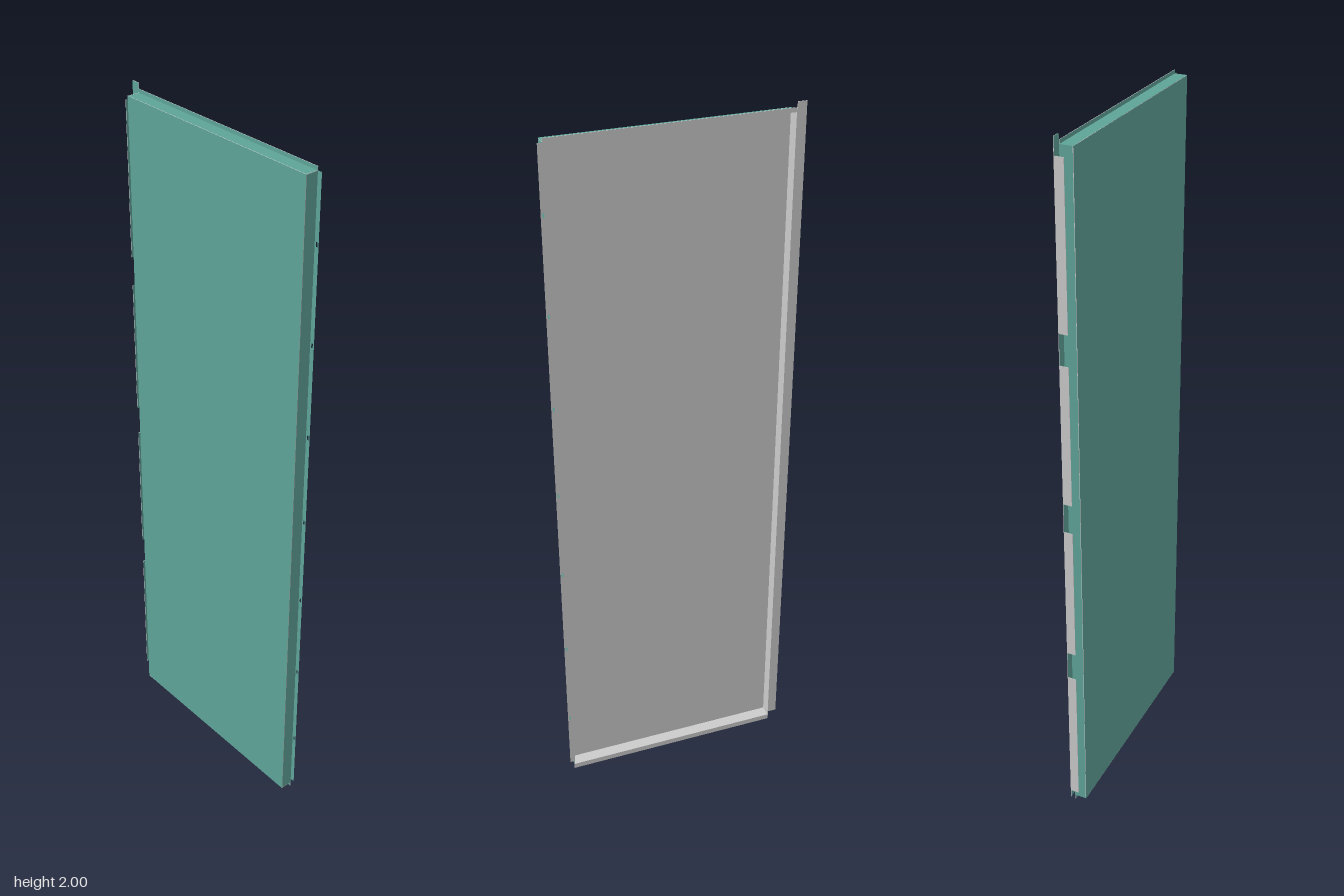
import * as THREE from 'three';

const T = 0.0015; // sheet thickness
const paint = new THREE.MeshStandardMaterial({ color: 0x5fa498 });
const bare = new THREE.MeshStandardMaterial({ color: 0xcccccc });

// Folded sheet outline: panel edges, flange limits, depths
const L = -0.315, R = 0.327, OUT = 0.34;
const LOW = 0.015, HIGH = 1.975;
const FRONT = 0.0185, BACK = -0.0185, LIP = -0.016;

// Axis-aligned plate between two corners; only the face on the given side is painted
const SIDES = ['+x', '-x', '+y', '-y', '+z', '-z'];
function plate(name, [x0, y0, z0], [x1, y1, z1], painted) {
  const geometry = new THREE.BoxGeometry(x1 - x0, y1 - y0, z1 - z0);
  const mesh = new THREE.Mesh(geometry, SIDES.map(s => (s === painted ? paint : bare)));
  mesh.position.set((x0 + x1) / 2, (y0 + y1) / 2, (z0 + z1) / 2);
  mesh.name = name;
  return mesh;
}

// Nailing flange with a row of small slots
function slottedFlange(width, height) {
  const group = new THREE.Group();
  group.name = 'slottedFlange';
  const w = width / 2, h = height / 2;
  const shape = new THREE.Shape();
  shape.moveTo(-w, -h).lineTo(w, -h).lineTo(w, h).lineTo(-w, h).closePath();
  for (let i = -3; i <= 3; i++) {
    const y = i * 0.265, a = 0.0025, b = 0.006;
    const slot = new THREE.Path();
    slot.moveTo(-a, y - b).lineTo(-a, y + b).lineTo(a, y + b).lineTo(a, y - b).closePath();
    shape.holes.push(slot);
  }
  const geometry = new THREE.ShapeGeometry(shape);
  const front = new THREE.Mesh(geometry, paint);
  front.name = 'flangeFront';
  const back = new THREE.Mesh(geometry, bare);
  back.name = 'flangeBack';
  back.rotation.y = Math.PI;
  back.position.z = -T;
  group.add(front, back);
  return group;
}

export function createModel() {
  const model = new THREE.Group();
  model.name = 'claddingPanel';

  // Shallow tray: face and four return walls
  model.add(
    plate('facePanel', [L, LOW, FRONT - T], [R, HIGH, FRONT], '+z'),
    plate('rightWall', [L, LOW, BACK], [L + T, HIGH, FRONT - T], '-x'),
    plate('leftWall', [R - T, LOW, BACK], [R, HIGH, FRONT - T], '+x'),
    plate('topWall', [L, HIGH - T, LIP], [R, HIGH, FRONT], '+y'),
    plate('bottomWall', [L, LOW, LIP], [R, LOW + T, FRONT], '-y'),
  );

  // Lips folded outward along the top and bottom
  model.add(
    plate('topLip', [L, HIGH - T, LIP - T], [R, 1.985, LIP], '+z'),
    plate('bottomLip', [L, 0, LIP - T], [R, LOW + T, LIP], '+z'),
  );

  // Slotted flange on one long edge
  const flange = slottedFlange(OUT - R, 1.945);
  flange.position.set((R + OUT) / 2, 1.0025, BACK + T);
  model.add(flange);

  // Interlocking strip on the other edge, with four forward hooks
  model.add(plate('jointStrip', [-OUT, 0.03, BACK], [L, 2, BACK + T], '+z'));
  const hooks = [[0.055, 0.475], [0.56, 0.955], [1.04, 1.435], [1.52, 1.955]];
  for (const [y0, y1] of hooks) {
    model.add(plate('jointHook', [-OUT, y0, BACK + T], [-OUT + T, y1, 0.007], '+x'));
  }
  return model;
}
